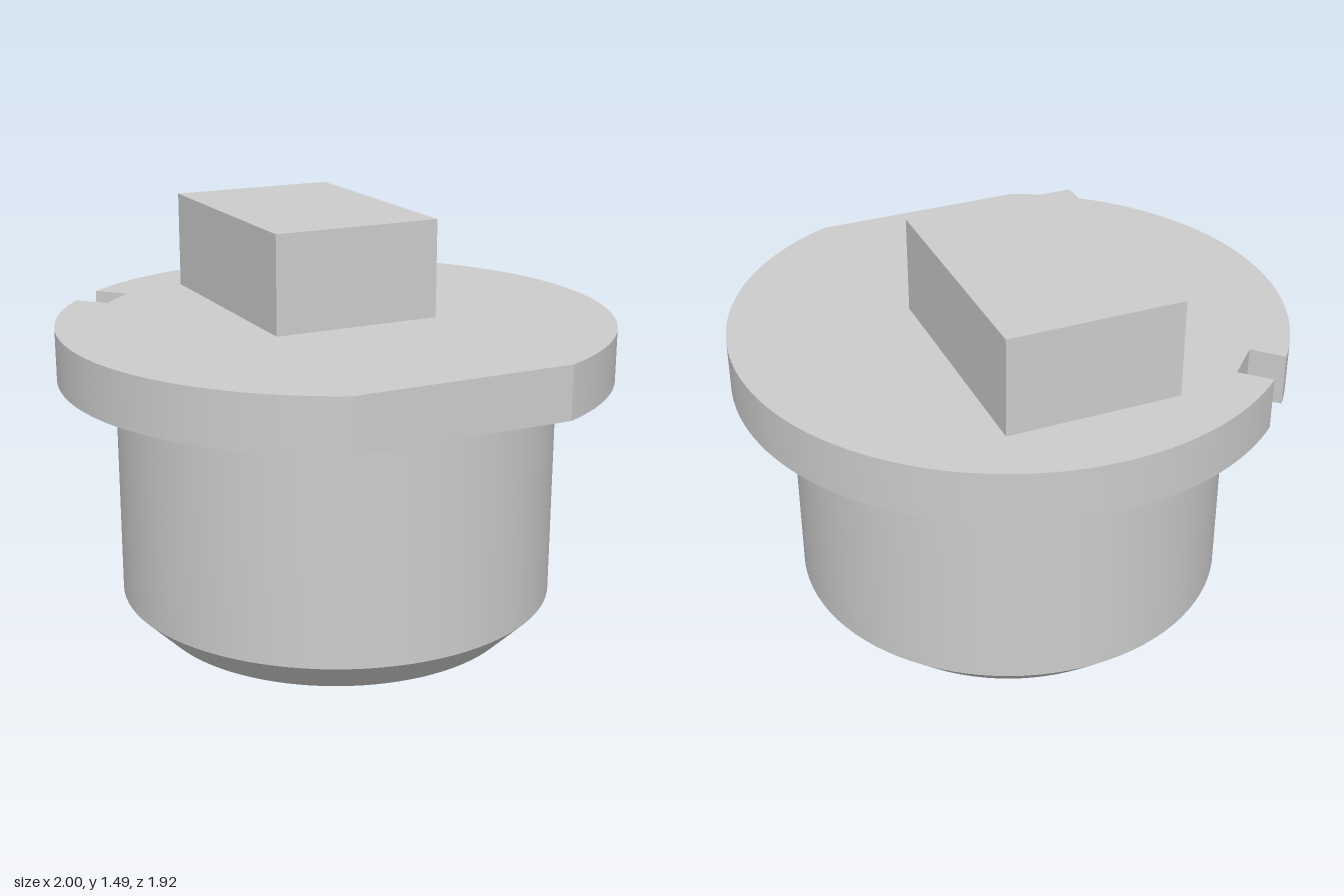
import * as THREE from 'three';
import { toCreasedNormals } from 'three/addons/utils/BufferGeometryUtils.js';

const CENTRE_Z = 0.042; // axis of the round parts
const FLANGE_Y = 0.942, FLANGE_TOP = 1.133;

// Round flange outline with a flat on the front and a square notch at the back
function flangeShape() {
  const flat = Math.asin(0.917), mid = Math.PI * 0.75;
  const half = 0.081, inner = 0.867, spread = Math.asin(half);
  const dir = new THREE.Vector2(Math.cos(mid), Math.sin(mid));
  const side = new THREE.Vector2(-dir.y, dir.x);
  const notchCorner = (s) => dir.clone().multiplyScalar(inner).addScaledVector(side, s * half);
  const a = notchCorner(-1), b = notchCorner(1);

  const shape = new THREE.Shape();
  shape.absarc(0, 0, 1, -flat, mid - spread, false);
  shape.lineTo(a.x, a.y);
  shape.lineTo(b.x, b.y);
  shape.absarc(0, 0, 1, mid + spread, Math.PI + flat, false);
  shape.closePath();
  return shape;
}

export function createModel() {
  const group = new THREE.Group();
  const grey = new THREE.MeshStandardMaterial({ color: 0xcccccc });
  grey.name = 'light grey';

  const add = (name, geometry, x, y, z) => {
    const mesh = new THREE.Mesh(geometry, grey);
    mesh.name = name;
    mesh.position.set(x, y, z);
    group.add(mesh);
  };

  // Cylindrical plug with a chamfered lower edge
  const profile = [[0, 0], [0.67, 0], [0.795, 0.125], [0.795, FLANGE_Y]]
    .map(([r, y]) => new THREE.Vector2(r, y));
  add('plugBody', toCreasedNormals(new THREE.LatheGeometry(profile, 96), 0.5), 0, 0, CENTRE_Z);

  // Flange
  const flange = new THREE.ExtrudeGeometry(flangeShape(), {
    depth: FLANGE_TOP - FLANGE_Y, bevelEnabled: false, curveSegments: 64,
  });
  flange.rotateX(-Math.PI / 2);
  add('flange', toCreasedNormals(flange, 0.3), 0, FLANGE_Y, CENTRE_Z);

  // Off-centre block on top
  const blockHeight = 1.488 - FLANGE_TOP;
  add('topBlock', new THREE.BoxGeometry(0.626, blockHeight, 0.902),
    0, FLANGE_TOP + blockHeight / 2, -0.235);

  return group;
}
